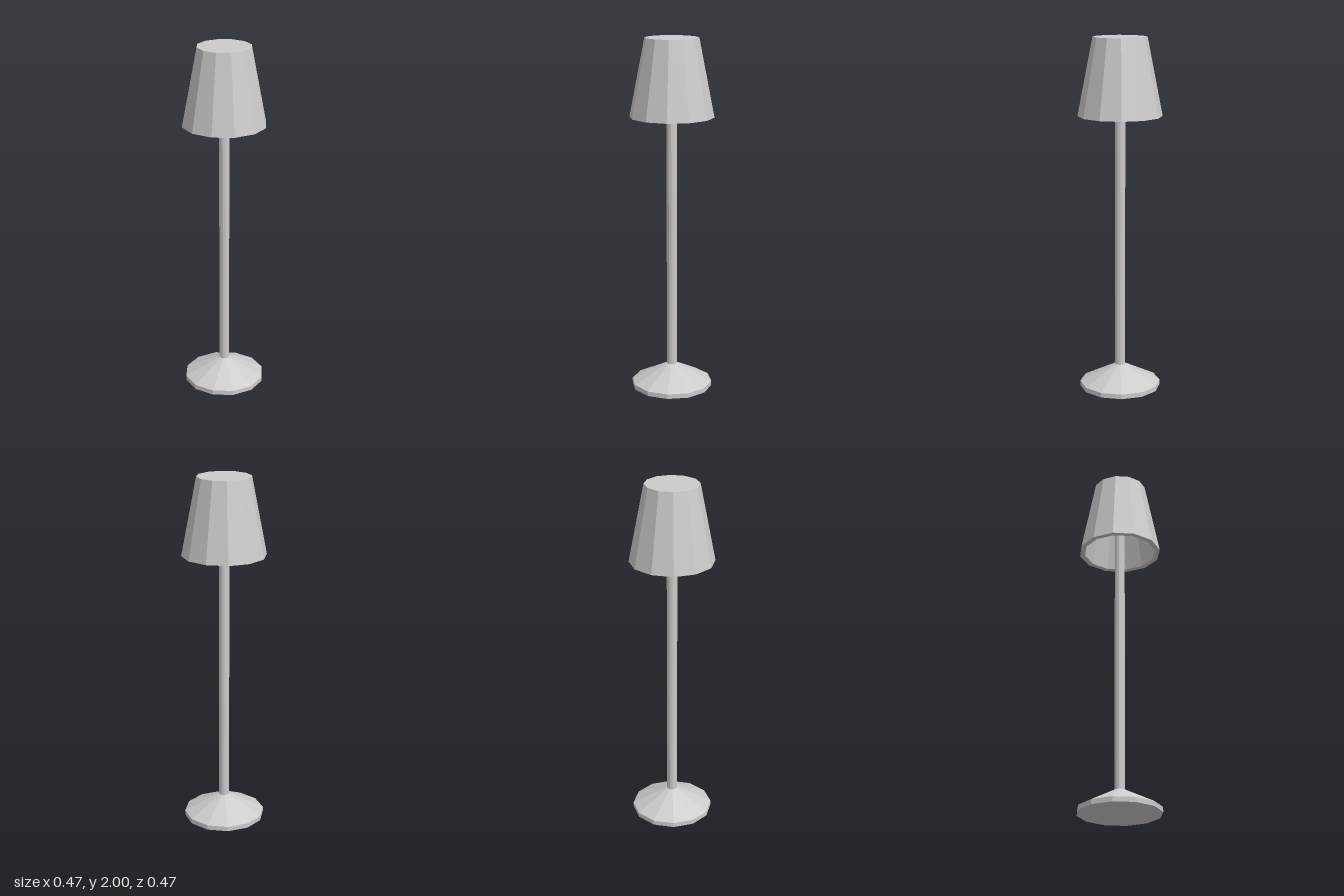
import * as THREE from 'three';

const SIDES = 12;

// Faceted turned part from [radius, height] pairs, listed counter-clockwise.
function turned(name, profile, material) {
  const points = profile.map(([r, y]) => new THREE.Vector2(r, y));
  const mesh = new THREE.Mesh(new THREE.LatheGeometry(points, SIDES), material);
  mesh.name = name;
  return mesh;
}

export function createModel() {
  const group = new THREE.Group();
  group.name = 'floorLamp';
  const material = new THREE.MeshStandardMaterial({ color: 0xcccccc, flatShading: true });

  // Foot: thin disc rising in a cone to the pole
  group.add(turned('base', [[0, 0], [0.23, 0], [0.23, 0.027], [0.03, 0.13], [0, 0.13]], material));

  // Pole: runs up inside the shade to its ceiling
  const pole = new THREE.Mesh(new THREE.CylinderGeometry(0.029, 0.029, 1.85, SIDES), material);
  pole.name = 'pole';
  pole.position.y = 0.12 + 1.85 / 2;
  group.add(pole);

  // Shade: hollow, thick-walled, closed on top and open below
  group.add(turned('shade', [
    [0, 1.965], [0.128, 1.965], [0.206, 1.567], // inside
    [0.235, 1.567], [0.15, 2], [0, 2],          // rim and outside
  ], material));

  return group;
}
